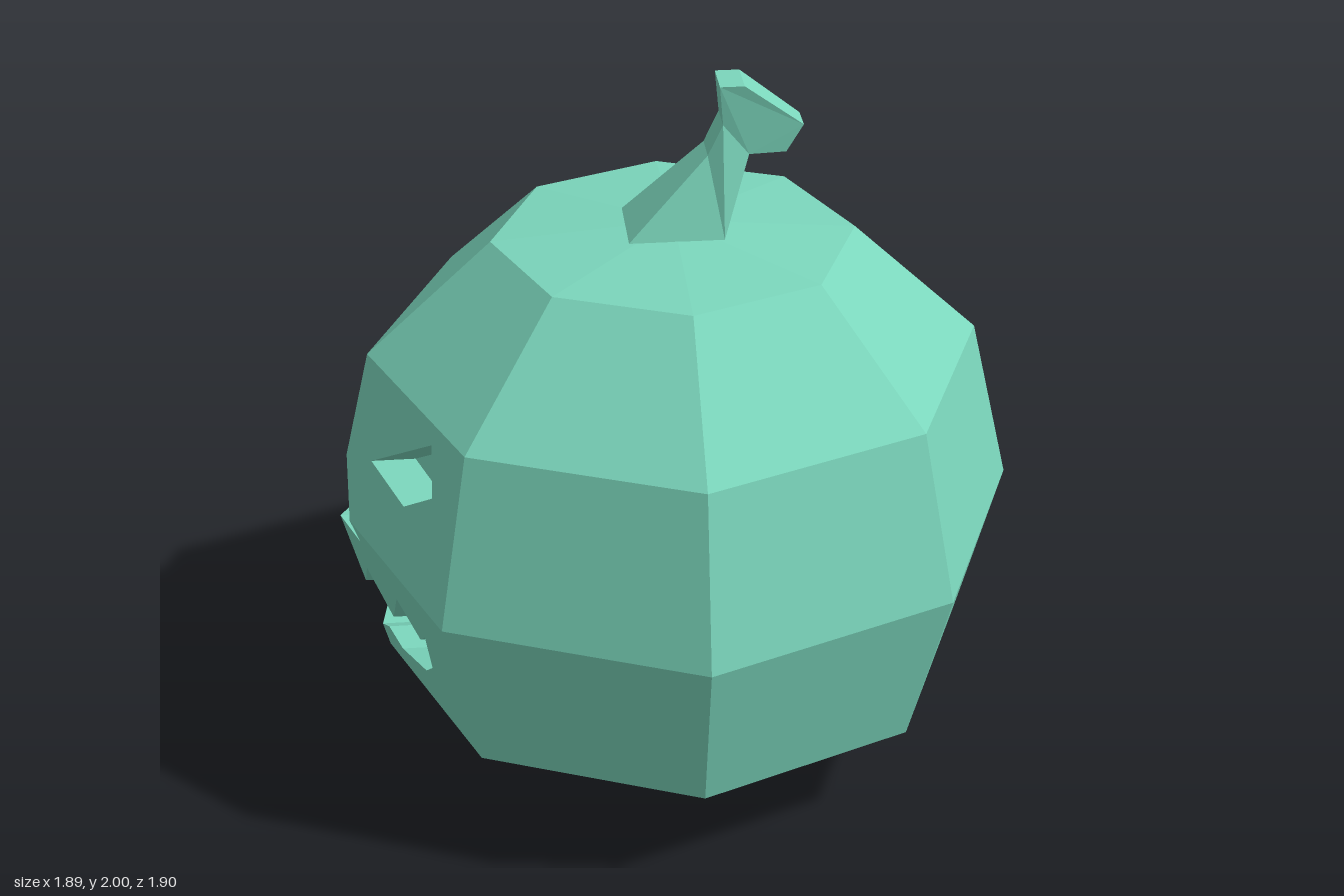
import * as THREE from 'three';

const material = new THREE.MeshStandardMaterial({
  color: 0x7bd6bc, flatShading: true, side: THREE.DoubleSide,
});
const DEPTH = 0.12; // how far the carving goes in
const SLOPE = Math.tan(Math.PI / 8);

// Body profile: [radius, height]
const PROFILE = [[0, 0], [0.477, 0.045], [0.823, 0.295], [0.95, 0.77], [0.838, 1.24], [0.493, 1.56], [0, 1.6]];

function add(parent, geometry, name) {
  const mesh = new THREE.Mesh(geometry, material);
  mesh.name = name;
  parent.add(mesh);
  return mesh;
}

// Part of the eight-sided body between two profile rings
function band(from, to, segments = 8, start = 0) {
  const pts = PROFILE.slice(from, to + 1).map(([r, y]) => new THREE.Vector2(r, y));
  return new THREE.LatheGeometry(pts, segments, start, segments * Math.PI / 4);
}

// Place a (z, y) point on the carved -x facets
function onFacet(z, y) {
  const i = y > 0.77 ? 3 : 2;
  const [r0, y0] = PROFILE[i], [r1, y1] = PROFILE[i + 1];
  const r = r0 + (r1 - r0) * (y - y0) / (y1 - y0);
  return [-(r - SLOPE * z), y, z];
}

// Flat facet piece drawn in (z, y), optionally with a hole or set inwards
function panel(outline, hole, inset = 0) {
  const shape = new THREE.Shape(outline.map(p => new THREE.Vector2(...p)));
  if (hole) shape.holes.push(new THREE.Path(hole.map(p => new THREE.Vector2(...p))));
  const geo = new THREE.ShapeGeometry(shape);
  const pos = geo.attributes.position;
  for (let i = 0; i < pos.count; i++) {
    const [x, y, z] = onFacet(pos.getX(i), pos.getY(i));
    pos.setXYZ(i, x + inset, y, z);
  }
  geo.computeVertexNormals();
  return geo;
}

// Cut wall running inwards along an opening's edge
function rim(path) {
  const v = [];
  for (let i = 0; i < path.length - 1; i++) {
    const a = onFacet(...path[i]), b = onFacet(...path[i + 1]);
    const c = [b[0] + DEPTH, b[1], b[2]], d = [a[0] + DEPTH, a[1], a[2]];
    v.push(...a, ...b, ...c, ...a, ...c, ...d);
  }
  const geo = new THREE.BufferGeometry();
  geo.setAttribute('position', new THREE.Float32BufferAttribute(v, 3));
  geo.computeVertexNormals();
  return geo;
}

// One half of the carved face, on the +z side
function halfFace() {
  const half = new THREE.Group();
  const eye = [[0.14, 0.985], [0.355, 0.963], [0.485, 1.06], [0.425, 1.185]];
  const noseSide = [0.091, 0.77];
  const nose = [[0, 0.93], noseSide, [0.12, 0.72], [0, 0.735]];
  const mouth = [
    [0, 0.365], [0.07, 0.4], [0.135, 0.365], [0.325, 0.415], [0.41, 0.48], [0.455, 0.61],
    [0.395, 0.565], [0.295, 0.635], [0.175, 0.5], [0.077, 0.605], [0, 0.515],
  ];
  const corner = i => [PROFILE[i][0] * Math.SQRT1_2, PROFILE[i][1]];

  add(half, panel([nose[0], noseSide, corner(3), corner(4), [0, 1.24]], eye), 'upperFacet');
  add(half, panel([[0, 0.295], corner(2), corner(3), noseSide, nose[2], nose[3],
    ...[...mouth].reverse()]), 'lowerFacet');

  add(half, rim([...eye, eye[0]]), 'eyeRim');
  add(half, rim(nose), 'noseRim');
  add(half, rim(mouth), 'mouthRim');

  add(half, panel(eye, null, DEPTH), 'eyeRecess');
  add(half, panel([[0, 0.77], noseSide, nose[0]], null, DEPTH), 'upperNoseRecess');
  add(half, panel([nose[3], nose[2], noseSide, [0, 0.77]], null, DEPTH), 'lowerNoseRecess');
  add(half, panel(mouth, null, DEPTH), 'mouthRecess');
  return half;
}

// Bent stem: side outline [x, y, half width], flared at the base and tip
function stemGeometry() {
  const outline = [
    [-0.13, 1.59, 0.115], [0.125, 1.59, 0.115], [0.195, 1.805, 0.05], [0.295, 1.805, 0.042],
    [0.34, 1.88, 0.042], [0.18, 2, 0.06], [0.115, 2, 0.06], [0.125, 1.89, 0.052], [0.085, 1.805, 0.05],
  ];
  const shape = new THREE.Shape(outline.map(([x, y]) => new THREE.Vector2(x, y)));
  const geo = new THREE.ExtrudeGeometry(shape, { depth: 1, bevelEnabled: false });
  const pos = geo.attributes.position;
  for (let i = 0; i < pos.count; i++) {
    const p = outline.find(([x, y]) => Math.hypot(x - pos.getX(i), y - pos.getY(i)) < 1e-4);
    pos.setZ(i, pos.getZ(i) > 0.5 ? p[2] : -p[2]);
  }
  geo.computeVertexNormals();
  return geo;
}

export function createModel() {
  const model = new THREE.Group();
  model.name = 'carvedPumpkin';

  // Shell, leaving the two facets around -x open for the face
  add(model, band(0, 2), 'bodyBottom');
  add(model, band(2, 4, 6, Math.PI * 1.75), 'bodySides');
  add(model, band(4, 6), 'bodyTop');

  // Carved face, mirrored across z
  for (const side of [1, -1]) {
    const half = halfFace();
    half.name = side > 0 ? 'faceFrontHalf' : 'faceBackHalf';
    half.scale.z = side;
    model.add(half);
  }

  add(model, stemGeometry(), 'stem');
  return model;
}
